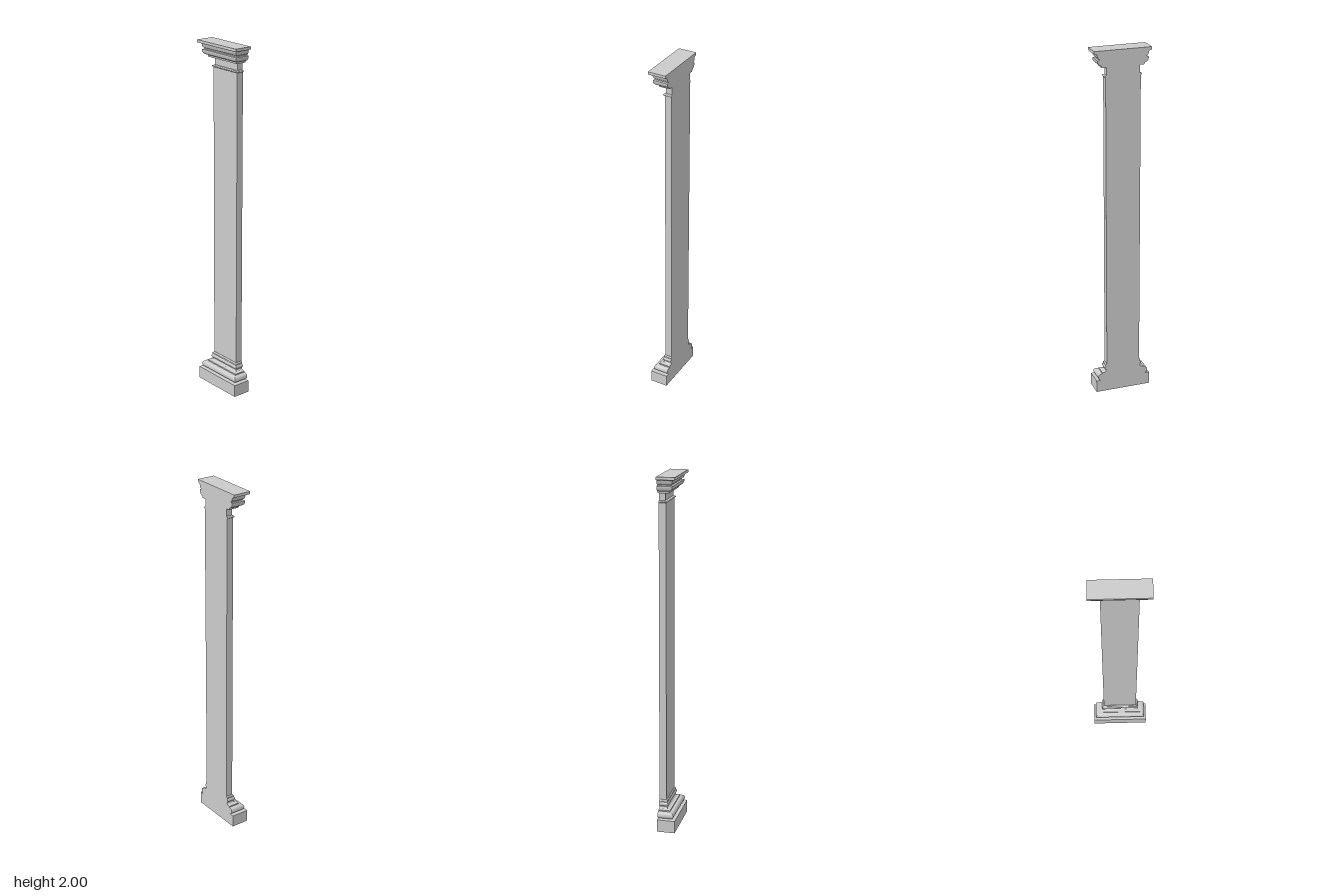
import * as THREE from 'three';
import { mergeVertices, toCreasedNormals } from 'three/addons/utils/BufferGeometryUtils.js';

const BACK = -0.051;   // flat wall side
const INSET = 0.058;   // half width minus depth, constant so corners mitre at 45 degrees

// Points along an elliptical arc, angles in degrees
function arc(cx, cy, rx, ry, from, to, n = 8) {
  return Array.from({ length: n + 1 }, (_, i) => {
    const a = THREE.MathUtils.degToRad(from + ((to - from) * i) / n);
    return [cx + rx * Math.cos(a), cy + ry * Math.sin(a)];
  });
}

// Sweep a [halfWidth, y] profile (bottom to top) round the left, front and right sides,
// closing it with a flat back and end caps
function moulding(name, profile, material) {
  const rings = profile.map(([w, y]) => {
    const front = BACK + w - INSET;
    return [[-w, y, BACK], [-w, y, front], [w, y, front], [w, y, BACK]];
  });
  const pos = [];
  const quad = (a, b, c, d) => pos.push(...a, ...b, ...c, ...a, ...c, ...d);
  for (let k = 0; k < rings.length - 1; k++) {
    for (let i = 0; i < 4; i++) {
      const j = (i + 1) % 4;
      quad(rings[k][i], rings[k][j], rings[k + 1][j], rings[k + 1][i]);
    }
  }
  quad(...rings[rings.length - 1]);
  quad(...[...rings[0]].reverse());
  let geometry = new THREE.BufferGeometry();
  geometry.setAttribute('position', new THREE.Float32BufferAttribute(pos, 3));
  geometry = toCreasedNormals(mergeVertices(geometry), 0.6);
  const mesh = new THREE.Mesh(geometry, material);
  mesh.name = name;
  return mesh;
}

export function createModel() {
  const material = new THREE.MeshStandardMaterial({ color: 0xcccccc });
  const group = new THREE.Group();
  group.name = 'pilaster';

  const parts = {
    plinth: [[0.16, 0], [0.16, 0.071]],
    // Large torus, fillet, scotia, small torus and top fillet
    baseMoulding: [
      [0.14, 0.071],
      ...arc(0.132, 0.092, 0.017, 0.019, -90, 90),
      [0.125, 0.111], [0.125, 0.118],
      ...arc(0.12, 0.127, 0.016, 0.009, 270, 180, 5),
      [0.104, 0.133],
      ...arc(0.1, 0.146, 0.01, 0.012, -90, 90),
      [0.105, 0.158], [0.105, 0.165], [0.099, 0.172],
    ],
    shaft: [[0.098, 0.165], [0.098, 1.856]],
    astragal: [[0.098, 1.854], ...arc(0.099, 1.86, 0.005, 0.005, -90, 90, 6), [0.093, 1.867]],
    necking: [[0.093, 1.86], [0.093, 1.915]],
    // Fillet, ovolo, step, cyma and top slab edge
    capital: [
      [0.093, 1.909], [0.118, 1.909], [0.12, 1.918],
      ...arc(0.12, 1.944, 0.022, 0.024, -90, 0),
      [0.142, 1.949], [0.132, 1.951], [0.132, 1.957],
      ...arc(0.132, 1.971, 0.01, 0.014, -90, 0, 5),
      ...arc(0.152, 1.971, 0.01, 0.012, 180, 90, 5),
      [0.16, 1.985], [0.16, 2],
    ],
  };
  for (const [name, profile] of Object.entries(parts)) group.add(moulding(name, profile, material));
  return group;
}
